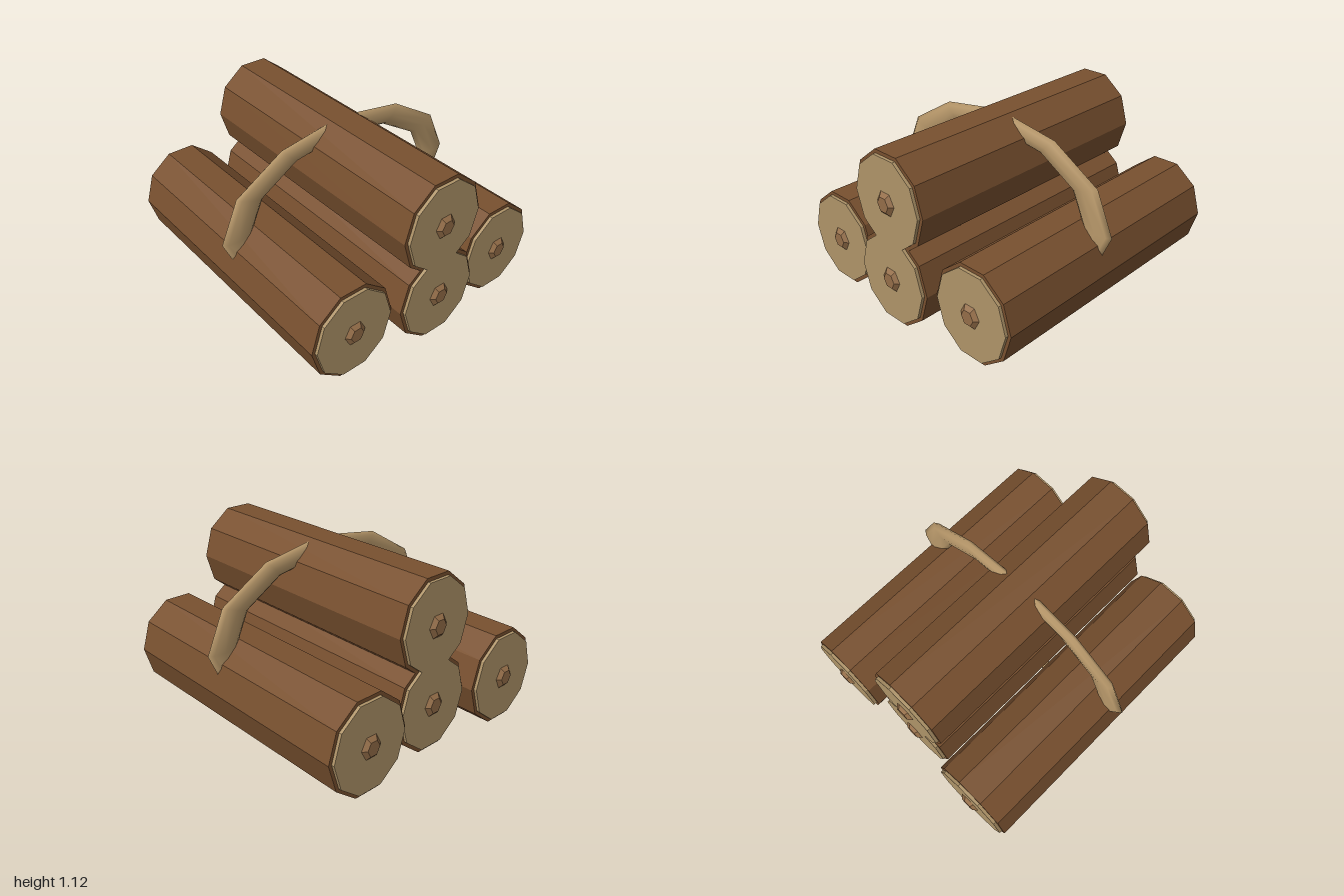
import * as THREE from 'three';

const mat = (name, color, flatShading) => {
  const m = new THREE.MeshStandardMaterial({ color, flatShading });
  m.name = name;
  return m;
};

// Prism or frustum lying along z, its narrow end facing +z, with a corner on +x
function prismZ(rTip, rBase, length, sides) {
  return new THREE.CylinderGeometry(rTip, rBase, length, sides, 1, false, Math.PI / 2).rotateX(Math.PI / 2);
}

export function createModel() {
  const bark = mat('bark brown', 0x78502f, true);
  const wood = mat('cut wood tan', 0xae9368, true);
  const pith = mat('pith brown', 0x936d48, true);
  const rope = mat('rope tan', 0xb8986a, false);

  const model = new THREE.Group();
  model.name = 'logBundle';

  const add = (parent, name, geometry, material) => {
    const mesh = new THREE.Mesh(geometry, material);
    mesh.name = name;
    parent.add(mesh);
    return mesh;
  };

  // Ten-sided logs, slightly taller than wide, capped at both ends
  const RX = 0.293, RY = 0.321, LENGTH = 1.85;
  const logs = [
    ['leftLog', 0.592, 0.305, -0.035],
    ['rightLog', -0.592, 0.305, -0.035],
    ['middleLog', 0, 0.305, 0.035],
    ['topLog', 0, 0.815, 0.035],
  ];
  for (const [name, x, y, z] of logs) {
    const log = new THREE.Group();
    log.name = name;
    log.position.set(x, y, z);
    add(log, 'bark', prismZ(1, 1, LENGTH, 10).scale(RX, RY, 1), bark);
    for (const [side, turn] of [['front', 0], ['back', Math.PI]]) {
      const end = new THREE.Group();
      end.name = side + 'End';
      end.rotation.y = turn;
      const cap = prismZ(0.925, 0.925, 0.04, 10).scale(RX, RY, 1);
      add(end, 'cutFace', cap, wood).position.z = LENGTH / 2;
      const core = prismZ(0.16, 0.255, 0.024, 6).scale(RX, RY, 1);
      add(end, 'pith', core, pith).position.z = LENGTH / 2 + 0.031;
      log.add(end);
    }
    model.add(log);
  }

  // Flattened rope loop around the bundle
  const loop = new THREE.TorusGeometry(0.805, 0.105, 8, 12).scale(1, 0.61, 0.3);
  add(model, 'ropeLoop', loop, rope).position.set(0, 0.565, 0.067);

  return model;
}
